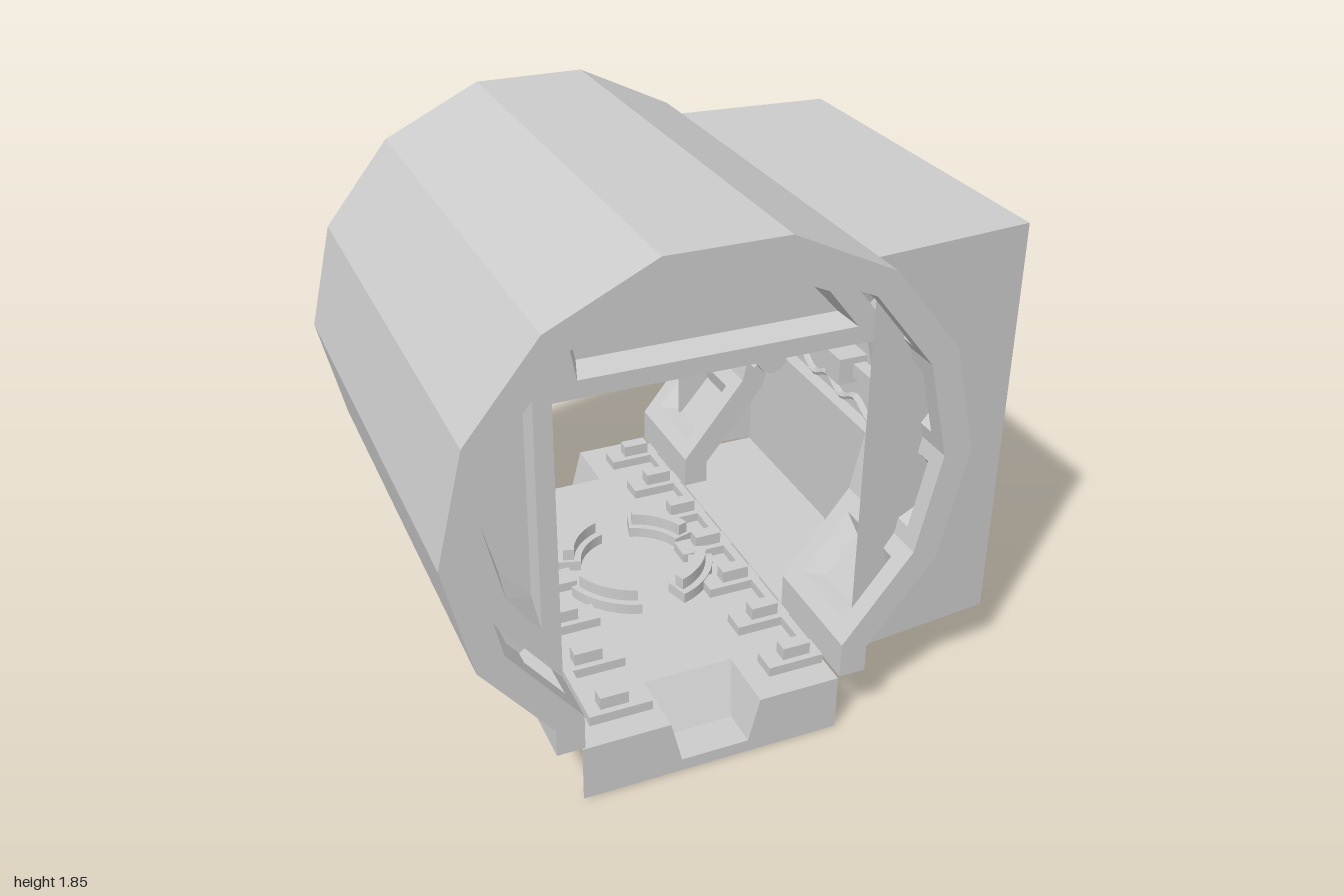
import * as THREE from 'three';

const mat = new THREE.MeshStandardMaterial({ color: 0xcccccc, flatShading: true, side: THREE.DoubleSide });
const CX = -0.12, END = 0.86, FLOOR = 0.205;

// Half profiles of the tunnel lining, from crown to foot, as [offset from CX, y]
const OUTER = [[0.2, 1.85], [0.55, 1.68], [0.79, 1.38], [0.88, 1], [0.79, 0.61], [0.55, 0.31], [0.55, 0.21]];
const INNER = [[0.165, 1.755], [0.485, 1.61], [0.7, 1.34], [0.78, 1], [0.7, 0.65], [0.455, 0.34], [0.455, 0.21]];
const side = (pts, s) => pts.map(([x, y]) => [CX + s * x, y]);
const arch = pts => [...side(pts, -1).reverse(), ...side(pts, 1)];

function mesh(name, geometry, parent) {
  const m = new THREE.Mesh(geometry, mat);
  m.name = name;
  parent.add(m);
  return m;
}

function box(name, parent, w, h, d, x, y, z) {
  const m = mesh(name, new THREE.BoxGeometry(w, h, d), parent);
  m.position.set(x, y, z);
  return m;
}

// Geometry from a list of four-cornered faces
function quads(list) {
  const pos = [];
  for (const [a, b, c, d] of list) pos.push(...a, ...b, ...c, ...a, ...c, ...d);
  const g = new THREE.BufferGeometry();
  g.setAttribute('position', new THREE.Float32BufferAttribute(pos, 3));
  g.computeVertexNormals();
  return g;
}

const shapeOf = pts => new THREE.Shape(pts.map(p => new THREE.Vector2(...p)));

// Flat sheet facing z
function sheet(name, parent, pts, z) {
  mesh(name, new THREE.ShapeGeometry(shapeOf(pts)), parent).position.z = z;
}

// Long facets between z0 and z1 along a profile
function skin(name, parent, pts, z0, z1) {
  const list = [];
  for (let i = 0; i < pts.length - 1; i++) {
    const [a, b] = [pts[i], pts[i + 1]];
    list.push([[...a, z0], [...a, z1], [...b, z1], [...b, z0]]);
  }
  mesh(name, quads(list), parent);
}

// One wall cell with a sunken, bevelled panel
function cofferCell(a, b, z0, z1) {
  const len = Math.hypot(b[0] - a[0], b[1] - a[1]);
  let n = [(b[1] - a[1]) / len, -(b[0] - a[0]) / len];
  const out = [(a[0] + b[0]) / 2 - CX, (a[1] + b[1]) / 2 - 1];
  if (n[0] * out[0] + n[1] * out[1] < 0) n = [-n[0], -n[1]];
  const loop = (m, depth) => [[m, m], [1 - m, m], [1 - m, 1 - m], [m, 1 - m]].map(([u, v]) => [
    a[0] + (b[0] - a[0]) * u + n[0] * depth,
    a[1] + (b[1] - a[1]) * u + n[1] * depth,
    z0 + (z1 - z0) * v]);
  const loops = [loop(0, 0), loop(0.16, 0), loop(0.27, 0.055)];
  const list = [loops[2]];
  for (let k = 0; k < 2; k++) for (let i = 0; i < 4; i++) {
    const j = (i + 1) % 4;
    list.push([loops[k][i], loops[k][j], loops[k + 1][j], loops[k + 1][i]]);
  }
  return list;
}

function tunnel(root) {
  const g = new THREE.Group();
  g.name = 'tunnelLining';
  root.add(g);
  const step = END / 2;
  const outer = arch(OUTER), inner = arch(INNER);
  const ring = [...outer, ...inner.slice().reverse()];
  for (const s of [-1, 1]) {
    sheet('endRing', g, ring, s * END);
    // Jambs of the side opening
    sheet('openingJamb', g, [...side(OUTER, 1).slice(1), ...side(INNER, 1).slice(1).reverse()], s * step);
    skin('outerSideSkin', g, side(OUTER, 1).slice(1), s * step, s * END);
  }
  skin('outerSkin', g, outer.slice(0, 9), -END, END);
  // Sunken panels, left out where the side opening is
  const cells = [];
  for (let i = 0; i < inner.length - 1; i++) for (let k = 0; k < 4; k++) {
    if (i > 7 && (k === 1 || k === 2)) continue;
    const z0 = -END + k * step, z1 = z0 + step, [a, b] = [inner[i], inner[i + 1]];
    if (i === 0 || i === inner.length - 2) cells.push([[...a, z0], [...a, z1], [...b, z1], [...b, z0]]);
    else cells.push(...cofferCell(a, b, z0, z1));
  }
  mesh('panelledWall', quads(cells), g);
  // Feet of the lining
  for (const s of [-1, 1]) box('foot', g, 0.095, 0.01, 2 * END, CX + s * 0.5025, 0.215, 0);
  // Small wall lamps
  for (const [x, y, z] of [[-0.82, 1.34, 0.4], [-0.82, 1.34, -0.35], [-0.8, 0.64, -0.35]]) box('wallLamp', g, 0.06, 0.06, 0.08, x, y, z);
}

// Frame inside the front end with two bevelled recesses
function portalFrame(root) {
  const g = new THREE.Group();
  g.name = 'portalFrame';
  root.add(g);
  const recesses = [
    [[-0.64, 1.43], [-0.75, 1.3], [-0.82, 1], [-0.75, 0.7], [-0.64, 0.55]],
    [[-0.53, 1.56], [-0.27, 1.68], [0.03, 1.68], [0.32, 1.55], [0.43, 1.41], [-0.5, 1.41]]];
  const left = arch(INNER).slice(1, 10);
  const shape = shapeOf([...left, [0.575, 1.35], [-0.58, 1.35], [-0.58, 0.34]]);
  for (const r of recesses) shape.holes.push(new THREE.Path(r.map(p => new THREE.Vector2(...p))));
  mesh('frame', new THREE.ExtrudeGeometry(shape, { depth: 0.18, bevelEnabled: false }), g).position.z = 0.48;
  for (const r of recesses) {
    const cx = r.reduce((s, p) => s + p[0], 0) / r.length, cy = r.reduce((s, p) => s + p[1], 0) / r.length;
    const small = r.map(([x, y]) => [cx + (x - cx) * 0.94, cy + (y - cy) * 0.82]);
    mesh('recessBevel', quads(r.map((p, i) => {
      const j = (i + 1) % r.length;
      return [[...p, 0.66], [...r[j], 0.66], [...small[j], 0.58], [...small[i], 0.58]];
    })), g);
    sheet('recessBack', g, small, 0.58);
  }
}

function trackBed(root) {
  const g = new THREE.Group();
  g.name = 'trackBed';
  root.add(g);
  const L = -0.585, R = 0.33, top = [-0.28, 0.04], low = [-0.24, 0], base = 0.045;
  // Floor with a drain pit notched into each end
  const list = [[[L, FLOOR, -0.63], [R, FLOOR, -0.63], [R, FLOOR, 0.63], [L, FLOOR, 0.63]]];
  for (const s of [-1, 1]) {
    const e = s * END, ramp = s * 0.63, foot = s * 0.73;
    for (const [a, b] of [[L, top[0]], [top[1], R]]) list.push([[a, FLOOR, ramp], [b, FLOOR, ramp], [b, FLOOR, e], [a, FLOOR, e]]);
    list.push([[low[0], base, e], [low[1], base, e], [low[1], base, foot], [low[0], base, foot]]);
    list.push([[low[0], base, foot], [low[1], base, foot], [top[1], FLOOR, ramp], [top[0], FLOOR, ramp]]);
    for (const i of [0, 1]) list.push([[top[i], FLOOR, e], [low[i], base, e], [low[i], base, foot], [top[i], FLOOR, ramp]]);
    sheet('endApron', g, [[L, 0], [R, 0], [R, FLOOR], [top[1], FLOOR], [low[1], base], [low[0], base], [top[0], FLOOR], [L, FLOOR]], e);
  }
  mesh('floor', quads(list), g);
  // Sleepers, chairs and kerb strips
  for (let i = 0; i < 7; i++) {
    const z = -0.72 + i * 0.24;
    box('sleeper', g, 0.22, 0.035, 0.09, -0.415, 0.2225, z);
    box('sleeper', g, 0.2, 0.035, 0.09, 0.22, 0.2225, z);
    box('chair', g, 0.1, 0.045, 0.05, -0.43, 0.265, z);
    box('chair', g, 0.1, 0.045, 0.05, 0.23, 0.265, z);
  }
  for (const x of [-0.51, 0.3]) box('kerbStrip', g, 0.03, 0.035, 1.5, x, 0.2225, 0);
  // Curved turntable rails
  const arc = (r, w, y0, h, a0, a1, x) => {
    const s = new THREE.Shape();
    s.absarc(0, 0, r + w, a0, a1, false);
    s.absarc(0, 0, r, a1, a0, true);
    const m = mesh('curvedRail', new THREE.ExtrudeGeometry(s, { depth: h, bevelEnabled: false, curveSegments: 6 }), g);
    m.rotation.x = -Math.PI / 2;
    m.position.set(x, y0, 0);
  };
  for (let i = 0; i < 4; i++) {
    const a = Math.PI / 4 + i * Math.PI / 2;
    arc(0.2, 0.09, FLOOR, 0.04, a - 0.5, a + 0.5, -0.06);
    arc(0.225, 0.04, 0.245, 0.045, a - 0.45, a + 0.45, -0.06);
  }
}

function alcove(root) {
  const g = new THREE.Group();
  g.name = 'sideAlcove';
  root.add(g);
  const T = 1.68, B = 0.21, x0 = 0.43, wall = 0.755;
  const f = [0.75, 0.695], b = [-0.72, -0.68];
  const list = [
    [[1, B, f[1]], [1, B, b[1]], [1, T, b[1]], [1, T, f[1]]],
    [[x0, T, f[0]], [1, T, f[1]], [1, T, b[1]], [x0, T, b[0]]]];
  for (const z of [f, b]) list.push([[x0, B, z[0]], [1, B, z[1]], [1, T, z[1]], [x0, T, z[0]]]);
  mesh('alcoveShell', quads(list), g);
  mesh('alcoveFloor', quads([[[0.33, FLOOR, -0.7], [0.33, FLOOR, 0.7], [wall, FLOOR, 0.7], [wall, FLOOR, -0.7]]]), g);
  mesh('alcoveBackWall', quads([[[wall, FLOOR, -0.7], [wall, FLOOR, 0.7], [wall, T, 0.7], [wall, T, -0.7]]]), g);
  // Wall bars and post
  for (const y of [0.76, 0.98, 1.3]) box('wallBar', g, 0.05, 0.05, 1.3, 0.725, y, 0);
  box('cornerPost', g, 0.07, 0.28, 0.07, 0.7, 0.345, 0.55);
  const strut = box('slantedStrut', g, 0.05, 0.06, 0.62, 0.725, 0.48, 0.3);
  strut.rotation.x = -0.75;
  // Ribbed motor with its bracket and cable
  const motor = new THREE.Group();
  motor.name = 'motor';
  motor.position.set(0.585, 0.86, -0.34);
  g.add(motor);
  mesh('motorBody', new THREE.CylinderGeometry(0.06, 0.06, 0.3, 10), motor).rotation.x = Math.PI / 2;
  mesh('motorCap', new THREE.CylinderGeometry(0.06, 0.035, 0.04, 10), motor).rotation.x = Math.PI / 2;
  motor.children[1].position.z = -0.17;
  for (let i = 0; i < 8; i++) {
    const a = i * Math.PI / 4;
    const rib = box('motorRib', motor, 0.02, 0.02, 0.22, Math.cos(a) * 0.063, Math.sin(a) * 0.063, 0);
    rib.rotation.z = a;
  }
  box('motorBracket', motor, 0.14, 0.04, 0.12, 0.1, 0, 0);
  const cable = [];
  for (let i = 0; i < 8; i++) cable.push(new THREE.Vector3(0.66, 0.89 + (i % 2) * 0.04, -0.2 + i * 0.1));
  mesh('cable', new THREE.TubeGeometry(new THREE.CatmullRomCurve3(cable), 28, 0.013, 6), g);
  box('switchBox', g, 0.11, 0.1, 0.1, 0.7, 0.98, 0.15);
}

export function createModel() {
  const root = new THREE.Group();
  root.name = 'tunnelSection';
  tunnel(root);
  portalFrame(root);
  trackBed(root);
  alcove(root);
  return root;
}
